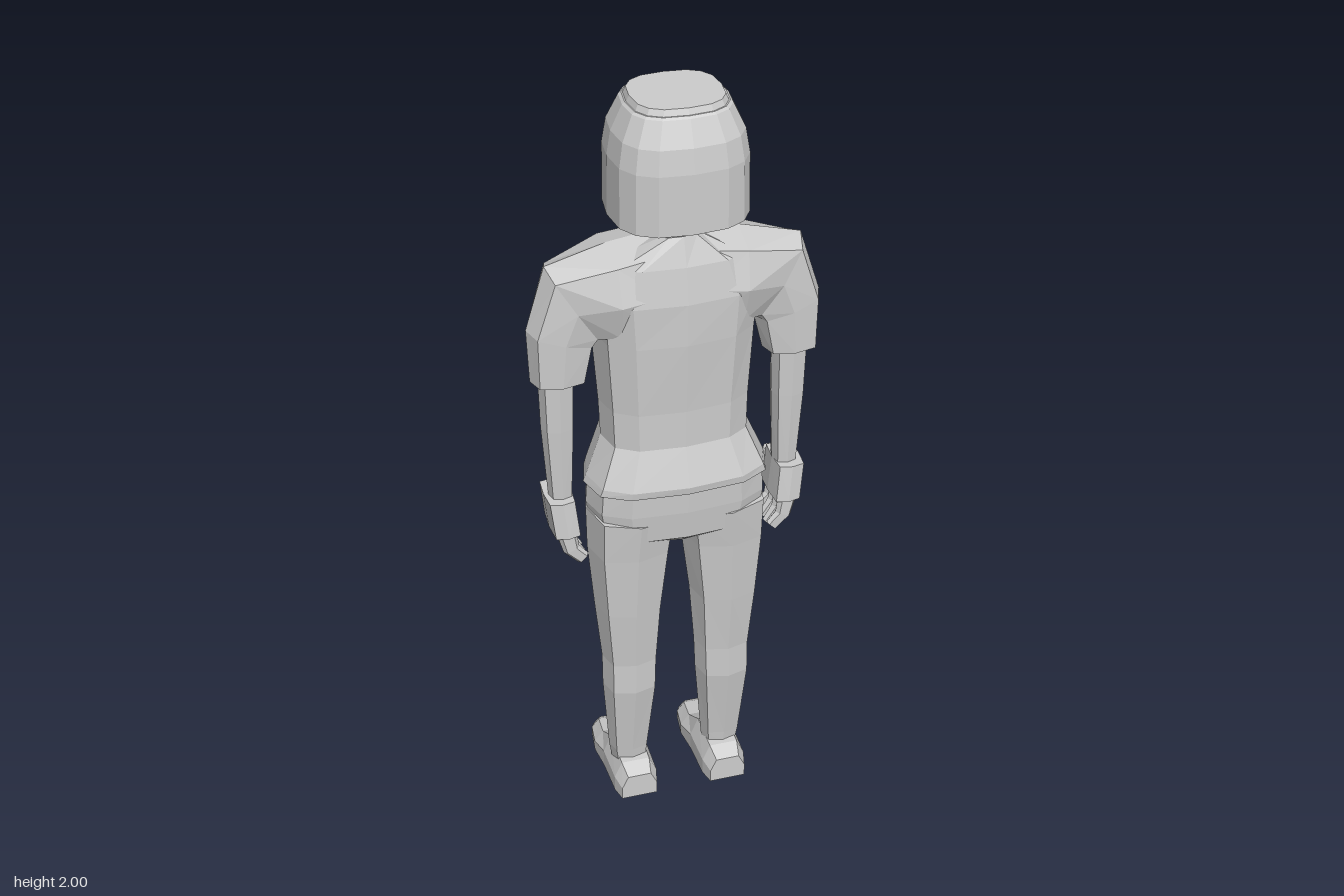
import * as THREE from 'three';

const grey = new THREE.MeshStandardMaterial({ color: 0xcccccc });
grey.name = 'light grey';

// Flat-shaded skin over rings of equal point count; turned outward by its signed volume
function loft(name, rings, capStart = true, capEnd = true) {
  const tris = [], n = rings[0].length;
  const mean = (pts) => pts.reduce((s, p) => s.add(p), new THREE.Vector3()).divideScalar(pts.length);
  for (let r = 0; r < rings.length - 1; r++) {
    for (let i = 0; i < n; i++) {
      const j = (i + 1) % n, a = rings[r], b = rings[r + 1];
      tris.push([a[i], a[j], b[j]], [a[i], b[j], b[i]]);
    }
  }
  const cap = (ring, flip) => {
    const c = mean(ring);
    for (let i = 0; i < n; i++) {
      const j = (i + 1) % n;
      tris.push(flip ? [c, ring[j], ring[i]] : [c, ring[i], ring[j]]);
    }
  };
  if (capStart) cap(rings[0], true);
  if (capEnd) cap(rings[rings.length - 1], false);
  const mid = mean(rings.flat());
  let volume = 0;
  for (const [a, b, c] of tris) {
    volume += a.clone().sub(mid).dot(b.clone().sub(mid).cross(c.clone().sub(mid)));
  }
  if (volume < 0) tris.forEach((t) => t.reverse());
  const geo = new THREE.BufferGeometry().setFromPoints(tris.flat());
  geo.computeVertexNormals();
  const mesh = new THREE.Mesh(geo, grey);
  mesh.name = name;
  return mesh;
}

// Rounded-box ring spanning edge points (ax,ay)-(bx,by) and depth z0-z1; s mirrors x
function ring([ax, ay, bx, by, z0, z1, tilt = 0], s = 1, n = 12, e = 0.7) {
  const pow = (v) => Math.sign(v) * Math.abs(v) ** e;
  return Array.from({ length: n }, (_, i) => {
    const a = (i / n) * Math.PI * 2;
    const u = 0.5 + 0.5 * pow(Math.cos(a)), w = 0.5 + 0.5 * pow(Math.sin(a));
    const z = z0 + (z1 - z0) * w;
    return new THREE.Vector3(s * (ax + (bx - ax) * u), ay + (by - ay) * u + tilt * z, z);
  });
}
const limb = (name, rows, s = 1, n = 8, e = 0.7) => loft(name, rows.map((r) => ring(r, s, n, e)));
// Rows [y, halfWidth, back, front, tilt] centred on x = 0
const trunk = (name, rows, n = 12, e = 0.7) =>
  limb(name, rows.map(([y, w, b, f, t]) => [-w, y, w, y, b, f, t]), 1, n, e);

function box(name, w, h, d, x, y, z, rz = 0) {
  const geo = new THREE.BoxGeometry(w, h, d);
  const mesh = new THREE.Mesh(geo, grey);
  mesh.name = name;
  mesh.position.set(x, y, z);
  mesh.rotation.z = rz;
  return mesh;
}

// Bob of hair: a thick shell cut away over the face
function makeHair() {
  const n = 16;
  const row = (scale, yOf) => Array.from({ length: n }, (_, i) => {
    const a = (i / n) * Math.PI * 2;
    const p = (v) => Math.sign(v) * Math.abs(v) ** 0.72;
    const off = Math.min(i, n - i);
    const bottom = off <= 2 ? 1.89 : 1.71;
    return new THREE.Vector3(
      0.165 * scale * p(Math.sin(a)),
      yOf(bottom),
      0.03 - 0.155 * scale * p(Math.cos(a))
    );
  });
  return loft('hair', [
    row(0.85, () => 1.93), row(0.87, (b) => b), row(1, (b) => b),
    row(0.99, (b) => Math.max(b, 1.86)), row(0.93, () => 1.92),
    row(0.76, () => 1.98), row(0.72, () => 1.985), row(0.7, () => 1.985), row(0.66, () => 2),
  ], false, true);
}

function makeHead() {
  const head = new THREE.Group();
  head.name = 'head';
  head.add(trunk('neck', [
    [1.58, 0.05, 0.075, -0.03], [1.68, 0.042, 0.07, -0.025], [1.76, 0.045, 0.065, -0.03],
  ], 8));
  head.add(trunk('face', [
    [1.67, 0.03, -0.06, -0.105], [1.7, 0.065, -0.01, -0.115], [1.76, 0.098, 0.08, -0.12],
    [1.83, 0.115, 0.12, -0.118], [1.89, 0.115, 0.13, -0.118], [1.94, 0.1, 0.12, -0.1],
  ]));
  head.add(trunk('nose', [
    [1.765, 0.02, -0.1, -0.128], [1.775, 0.022, -0.1, -0.148], [1.845, 0.01, -0.1, -0.124],
  ], 6));
  head.add(box('upperLip', 0.055, 0.011, 0.02, 0, 1.742, -0.116));
  head.add(box('lowerLip', 0.045, 0.01, 0.02, 0, 1.728, -0.114));
  for (const s of [1, -1]) {
    head.add(box('eye', 0.036, 0.014, 0.014, s * 0.045, 1.828, -0.114));
    head.add(box('eyebrow', 0.05, 0.01, 0.02, s * 0.047, 1.856, -0.114, s * 0.1));
  }
  head.add(makeHair());
  return head;
}

function makeArm(s) {
  const arm = new THREE.Group();
  arm.name = s > 0 ? 'leftArm' : 'rightArm';
  // Shoulder running outward, then turning down into the sleeve
  arm.add(limb('sleeve', [
    [0.05, 1.4, 0.05, 1.645, 0.125, -0.1], [0.15, 1.39, 0.16, 1.625, 0.125, -0.115],
    [0.19, 1.385, 0.315, 1.59, 0.09, -0.055], [0.2, 1.38, 0.365, 1.43, 0.085, -0.04],
    [0.222, 1.29, 0.36, 1.29, 0.082, -0.033],
  ], s));
  arm.add(limb('forearm', [
    [0.25, 1.34, 0.34, 1.34, 0.06, -0.03], [0.253, 1.15, 0.335, 1.15, 0.055, -0.03],
    [0.262, 0.93, 0.32, 0.93, 0.045, -0.025],
  ], s));
  arm.add(limb('hand', [
    [0.262, 0.95, 0.333, 0.95, 0.07, -0.055], [0.252, 0.85, 0.322, 0.85, 0.078, -0.06],
  ], s, 8, 0.35));
  for (let i = 0; i < 4; i++) {
    const z = 0.072 - i * 0.031, tip = i === 0 || i === 3 ? 0.012 : 0;
    arm.add(limb('finger', [
      [0.265, 0.87, 0.315, 0.86, z, z - 0.026], [0.258, 0.815, 0.298, 0.8, z, z - 0.026],
      [0.235, 0.775 + tip, 0.26, 0.75 + tip, z - 0.003, z - 0.023],
    ], s, 6));
  }
  arm.add(limb('thumb', [
    [0.26, 0.935, 0.31, 0.935, -0.04, -0.075], [0.245, 0.89, 0.285, 0.88, -0.05, -0.092],
    [0.235, 0.845, 0.26, 0.84, -0.06, -0.088],
  ], s, 6));
  return arm;
}

function makeLeg(s) {
  const leg = new THREE.Group();
  leg.name = s > 0 ? 'leftLeg' : 'rightLeg';
  leg.add(limb('trouserLeg', [
    [0.005, 0.88, 0.23, 0.9, 0.14, -0.098], [0.018, 0.78, 0.228, 0.78, 0.128, -0.088],
    [0.04, 0.6, 0.213, 0.6, 0.115, -0.07], [0.052, 0.43, 0.197, 0.43, 0.1, -0.045],
    [0.055, 0.34, 0.197, 0.34, 0.1, -0.04], [0.075, 0.12, 0.18, 0.12, 0.066, -0.03],
    [0.08, 0.07, 0.172, 0.07, 0.06, -0.03],
  ], s));
  // Shoe lofted from heel to toe: [z, halfWidth, height]
  const shoe = [
    [0.115, 0.048, 0.07], [0.075, 0.058, 0.09], [-0.03, 0.06, 0.1],
    [-0.1, 0.067, 0.06], [-0.165, 0.058, 0.05], [-0.19, 0.045, 0.035],
  ].map(([z, w, h]) => [[-1, 0], [-1, 0.5], [-0.65, 1], [0.65, 1], [1, 0.5], [1, 0]]
    .map(([u, v]) => new THREE.Vector3(s * 0.123 + u * w, v * h, z)));
  leg.add(loft('shoe', shoe));
  return leg;
}

export function createModel() {
  const model = new THREE.Group();
  model.name = 'standingFigure';
  model.add(trunk('shirt', [
    [0.98, 0.235, 0.155, -0.105], [1.0, 0.228, 0.158, -0.107], [1.1, 0.185, 0.125, -0.108],
    [1.2, 0.188, 0.125, -0.118], [1.39, 0.2, 0.137, -0.152], [1.5, 0.21, 0.137, -0.12],
    [1.58, 0.17, 0.122, -0.085, 0.1], [1.628, 0.055, 0.1, -0.06, 0.35],
  ]));
  model.add(trunk('hips', [
    [0.8, 0.06, 0.09, -0.05], [0.84, 0.215, 0.138, -0.094],
    [0.92, 0.23, 0.147, -0.1], [0.99, 0.225, 0.15, -0.1],
  ]));
  model.add(makeHead());
  for (const s of [1, -1]) model.add(makeArm(s), makeLeg(s));
  return model;
}
